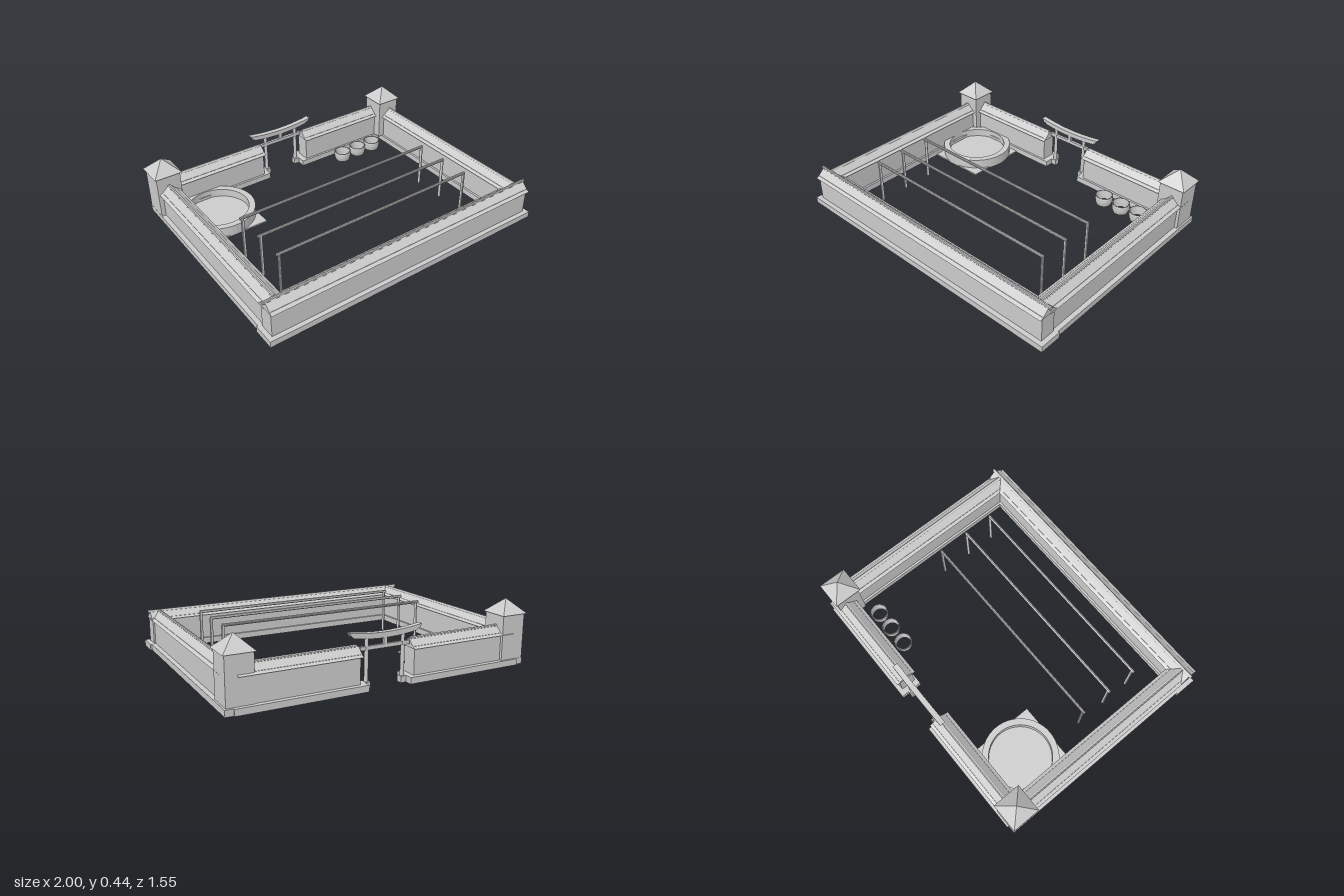
import * as THREE from 'three';

const grey = new THREE.MeshStandardMaterial({ color: 0xcccccc, flatShading: true });
const smooth = new THREE.MeshStandardMaterial({ color: 0xcccccc, side: THREE.DoubleSide });

export function createModel() {
  const model = new THREE.Group();

  function add(name, geometry, parent = model, material = grey) {
    const mesh = new THREE.Mesh(geometry, material);
    mesh.name = name;
    parent.add(mesh);
    return mesh;
  }
  // Box given by its limits on each axis
  function box(name, x0, x1, y0, y1, z0, z1, parent) {
    const mesh = add(name, new THREE.BoxGeometry(x1 - x0, y1 - y0, z1 - z0), parent);
    mesh.position.set((x0 + x1) / 2, (y0 + y1) / 2, (z0 + z1) / 2);
    return mesh;
  }
  function group(name) {
    const g = new THREE.Group();
    g.name = name;
    model.add(g);
    return g;
  }

  // Wall section running along local x: plinth, body, gabled coping and ridge pole
  function wall(name, length, plinth, bodyLength, roofLength, ridgeLength) {
    const g = group(name);
    box('plinth', -plinth / 2, plinth / 2, 0.02, 0.06, -0.065, 0.08, g);
    box('wallBody', -bodyLength / 2, bodyLength / 2, 0.06, 0.235, -0.05, 0.05, g);
    const gable = new THREE.Shape([
      new THREE.Vector2(-0.07, 0.222), new THREE.Vector2(0.07, 0.222),
      new THREE.Vector2(0.052, 0.232), new THREE.Vector2(0.008, 0.272),
      new THREE.Vector2(-0.008, 0.272), new THREE.Vector2(-0.052, 0.232),
    ]);
    const roof = new THREE.ExtrudeGeometry(gable, { depth: roofLength, bevelEnabled: false });
    roof.translate(0, 0, -roofLength / 2).rotateY(Math.PI / 2);
    add('coping', roof, g);
    const pole = new THREE.CylinderGeometry(0.011, 0.011, ridgeLength, 10).rotateZ(Math.PI / 2);
    add('ridgePole', pole, g).position.y = 0.271;
    return g;
  }

  // Front wall, side walls and the two back walls beside the gate
  wall('frontWall', 1.94, 2, 1.94, 1.95, 1.975).position.set(0, 0, 0.69);
  for (const s of [-1, 1]) {
    const side = wall(s < 0 ? 'rightWall' : 'leftWall', 1.4, 1.54, 1.4, 1.36, 1.36);
    side.position.set(s * 0.91, 0, 0);
    side.rotation.y = s * Math.PI / 2;
    const back = wall(s < 0 ? 'backRightWall' : 'backLeftWall', 0.68, 0.8, 0.72, 0.74, 0.72);
    back.position.set(s * 0.54, 0, -0.7);
    back.rotation.y = Math.PI;
  }

  // Corner towers with pyramid roofs
  for (const [name, x, z] of [['rightTower', -0.907, -0.685], ['leftTower', 0.897, -0.673]]) {
    const g = group(name);
    box('towerBody', x - 0.082, x + 0.082, 0.06, 0.35, z - 0.082, z + 0.082, g);
    const roof = new THREE.ConeGeometry(0.094 * Math.SQRT2, 0.09, 4).rotateY(Math.PI / 4);
    add('towerRoof', roof, g).position.set(x, 0.39, z);
  }

  // Gate: posts on footings, tie beam, strut and upswept top beam
  const gate = group('gate');
  gate.position.z = -0.712;
  for (const x of [-0.122, 0.122]) {
    box('gateFooting', x - 0.019, x + 0.019, 0.02, 0.06, -0.019, 0.019, gate);
    add('gatePost', new THREE.CylinderGeometry(0.011, 0.013, 0.3, 12), gate).position.set(x, 0.17, 0);
  }
  box('tieBeam', -0.165, 0.165, 0.245, 0.268, -0.009, 0.009, gate);
  box('strut', -0.012, 0.012, 0.268, 0.315, -0.008, 0.008, gate);
  function curvedBeam(name, half, endTop, midTop, endLow, midLow, inset, depth) {
    const shape = new THREE.Shape();
    shape.moveTo(-half, endTop);
    shape.quadraticCurveTo(0, 2 * midTop - endTop, half, endTop);
    shape.lineTo(half - inset, endLow);
    shape.quadraticCurveTo(0, 2 * midLow - endLow, inset - half, endLow);
    const geo = new THREE.ExtrudeGeometry(shape, { depth, bevelEnabled: false, curveSegments: 10 });
    add(name, geo.translate(0, 0, -depth / 2), gate);
  }
  curvedBeam('topBeam', 0.242, 0.361, 0.34, 0.337, 0.322, 0.015, 0.036);
  curvedBeam('underBeam', 0.227, 0.337, 0.322, 0.322, 0.305, 0.02, 0.026);

  // Three long rails on posts across the yard
  for (const z of [0.01, 0.222, 0.425]) {
    const g = group('rail');
    const bar = new THREE.CylinderGeometry(0.01, 0.01, 1.445, 10).rotateZ(Math.PI / 2);
    add('railBar', bar, g).position.set(-0.012, 0.296, z);
    for (const x of [-0.717, 0.705]) {
      add('railPost', new THREE.CylinderGeometry(0.01, 0.01, 0.295, 10), g).position.set(x, 0.1475, z);
    }
  }

  // Round basin on a thin square pad
  const profile = (pts) => pts.map(([r, y]) => new THREE.Vector2(r, y));
  box('basinPad', -0.88, -0.437, 0.02, 0.03, -0.68, -0.198);
  const basin = new THREE.LatheGeometry(profile([[0.245, 0.022], [0.245, 0.095], [0.203, 0.095], [0.203, 0.04], [0, 0.04]]), 48);
  add('basin', basin, model, new THREE.MeshStandardMaterial({ color: 0xcccccc, side: THREE.DoubleSide, flatShading: true }))
    .position.set(-0.66, 0, -0.44);

  // Three open pots
  for (const x of [0.437, 0.575, 0.71]) {
    const pot = new THREE.LatheGeometry(profile([[0.05, 0.02], [0.057, 0.04], [0.06, 0.06], [0.058, 0.075],
      [0.06, 0.085], [0.051, 0.085], [0.05, 0.02]]), 28);
    add('pot', pot, model, smooth).position.set(x, 0, -0.55);
  }
  return model;
}
